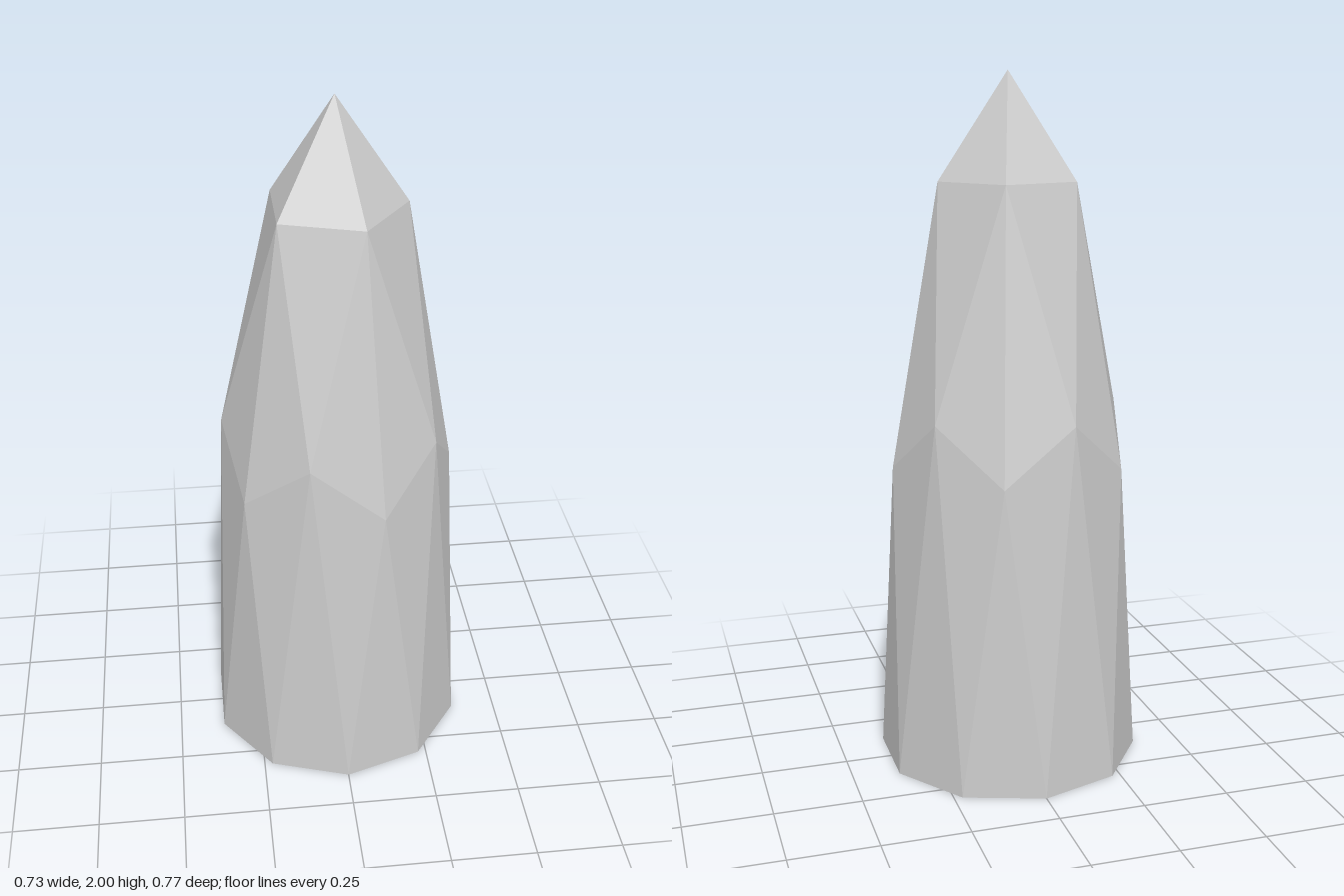
import * as THREE from 'three';

// Ring of points around the y axis; radius and height may alternate
function ring(count, offsetDeg, radii, heights) {
  return Array.from({ length: count }, (_, i) => {
    const a = THREE.MathUtils.degToRad(offsetDeg + (360 / count) * i);
    const r = radii[i % radii.length];
    return new THREE.Vector3(r * Math.cos(a), heights[i % heights.length], r * Math.sin(a));
  });
}

export function createModel() {
  const group = new THREE.Group();
  group.name = 'crystal';

  const tip = new THREE.Vector3(0, 2, 0);
  const shoulder = ring(5, 0, [0.202], [1.7]);
  const waist = ring(10, 0, [0.343, 0.327], [0.895, 1.055]);
  const base = ring(10, 18, [0.384], [0]);

  const points = [];
  const tri = (a, b, c) => points.push(a, b, c);

  // Pointed cap and upper facets
  for (let k = 0; k < 5; k++) {
    const s = shoulder[k], next = shoulder[(k + 1) % 5];
    const low = waist[2 * k], left = waist[2 * k + 1], right = waist[(2 * k + 9) % 10];
    tri(tip, next, s);
    tri(s, next, left);
    tri(s, left, low);
    tri(s, low, right);
  }

  // Long lower facets, open at the bottom
  for (let j = 0; j < 10; j++) {
    tri(waist[j], waist[(j + 1) % 10], base[j]);
    tri(waist[j], base[j], base[(j + 9) % 10]);
  }

  const geometry = new THREE.BufferGeometry().setFromPoints(points);
  geometry.computeVertexNormals();
  const material = new THREE.MeshStandardMaterial({
    color: 0xcccccc, flatShading: true, side: THREE.DoubleSide,
  });
  const shard = new THREE.Mesh(geometry, material);
  shard.name = 'crystalShard';
  group.add(shard);
  return group;
}
